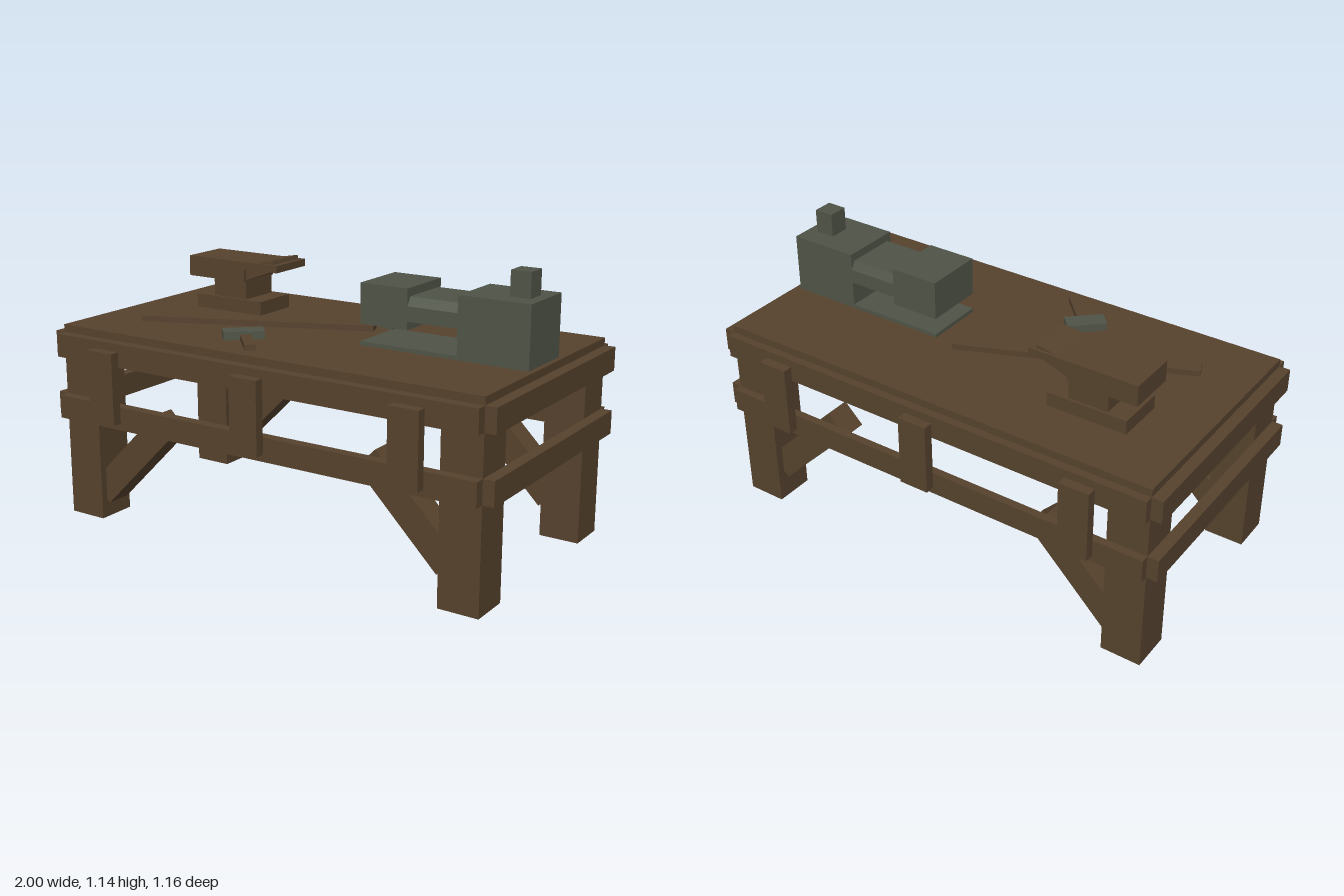
import * as THREE from 'three';

export function createModel() {
  const model = new THREE.Group();
  model.name = 'workbench';
  const wood = new THREE.MeshStandardMaterial({ name: 'dark wood', color: 0x56422d });
  const iron = new THREE.MeshStandardMaterial({ name: 'grey green iron', color: 0x4f5447 });

  const add = (parent, name, geometry, material) => {
    const mesh = new THREE.Mesh(geometry, material);
    mesh.name = name;
    parent.add(mesh);
    return mesh;
  };
  // Box given by its minimum and maximum on each axis
  const box = (parent, name, material, [x0, x1], [y0, y1], [z0, z1]) => {
    const mesh = add(parent, name, new THREE.BoxGeometry(x1 - x0, y1 - y0, z1 - z0), material);
    mesh.position.set((x0 + x1) / 2, (y0 + y1) / 2, (z0 + z1) / 2);
    return mesh;
  };
  // Prism with its outline in two dimensions, extruded from 0 to depth
  const prism = (points, depth) => new THREE.ExtrudeGeometry(
    new THREE.Shape(points.map(([x, y]) => new THREE.Vector2(x, y))),
    { depth, bevelEnabled: false });
  const group = (name) => {
    const g = new THREE.Group();
    g.name = name;
    model.add(g);
    return g;
  };

  // Bench: top, legs, two rings of rails
  const bench = group('bench');
  const ends = [-0.505, 0.495];
  box(bench, 'tabletop', wood, [-0.955, 0.955], [0.69, 0.803], ends);
  for (const [x0, x1] of [[-0.955, -0.79], [0.79, 0.955]]) {
    for (const [z0, z1] of [[-0.505, -0.34], [0.33, 0.495]]) {
      box(bench, 'leg', wood, [x0, x1], [0, 0.7], [z0, z1]);
    }
  }
  for (const [y0, y1] of [[0.42, 0.515], [0.677, 0.772]]) {
    box(bench, 'frontRail', wood, [-0.955, 0.955], [y0, y1], [0.495, 0.538]);
    box(bench, 'backRail', wood, [-0.955, 0.955], [y0, y1], [-0.538, -0.505]);
    box(bench, 'leftRail', wood, [0.955, 1], [y0, y1], ends);
    box(bench, 'rightRail', wood, [-1, -0.955], [y0, y1], ends);
  }

  // Upright battens over the long rails
  for (const x of [-0.692, 0.007, 0.688]) {
    box(bench, 'frontBatten', wood, [x - 0.062, x + 0.062], [0.448, 0.74], [0.538, 0.578]);
    box(bench, 'backBatten', wood, [x - 0.062, x + 0.062], [0.448, 0.74], [-0.578, -0.538]);
  }

  // Diagonal braces from the legs
  for (const z of [-0.42, 0.412]) {
    for (const [x, y, turn] of [[-0.648, 0.273, 1], [0.639, 0.321, -1]]) {
      const brace = add(bench, 'brace', new THREE.BoxGeometry(0.478, 0.115, 0.105), wood);
      brace.position.set(x, y, z);
      brace.rotation.z = turn * Math.PI / 4;
    }
  }

  // Iron machine with a hollow under its arm
  const machine = group('machine');
  const wide = [-0.122, 0.127];
  box(machine, 'machineBody', iron, [0.645, 0.935], [0.803, 1.045], wide);
  box(machine, 'machinePost', iron, [0.81, 0.892], [1.045, 1.142], [-0.039, 0.044]);
  box(machine, 'machinePlate', iron, [0.23, 0.645], [0.803, 0.819], wide);
  box(machine, 'machineHead', iron, [0.23, 0.435], [0.887, 1.045], wide);
  box(machine, 'machineFoot', iron, [0.267, 0.31], [0.853, 0.887], [-0.02, 0.024]);
  // Arm with chamfered upper edges, its profile lying across the bench
  const arm = add(machine, 'machineArm', prism([
    [-0.127, 0.92], [0.122, 0.92], [0.122, 0.978], [0.104, 1.012], [-0.106, 1.012], [-0.127, 0.978],
  ], 0.21), iron);
  arm.rotation.y = Math.PI / 2;
  arm.position.x = 0.435;

  // Wooden anvil
  const anvil = group('anvil');
  const full = [-0.277, -0.072];
  const slim = [-0.264, -0.085];
  box(anvil, 'anvilBase', wood, [-0.72, -0.387], [0.803, 0.86], full);
  box(anvil, 'anvilWaist', wood, [-0.636, -0.47], [0.86, 0.935], slim);
  box(anvil, 'anvilHead', wood, [-0.758, -0.47], [0.935, 1.02], full);
  box(anvil, 'anvilShelf', wood, [-0.47, -0.303], [0.99, 1.02], full);
  const horn = add(anvil, 'anvilHorn', prism([
    [-0.48, 0.938], [-0.322, 0.995], [-0.332, 1.036], [-0.425, 1.019], [-0.48, 1.01],
  ], slim[1] - slim[0]), wood);
  horn.position.z = slim[0];

  // Loose plank and hammer lying on the top
  const lay = (name, material, size, x, z, degrees) => {
    const mesh = add(model, name, new THREE.BoxGeometry(...size), material);
    mesh.position.set(x, 0.803 + size[1] / 2, z);
    mesh.rotation.y = THREE.MathUtils.degToRad(degrees);
  };
  lay('plank', wood, [0.96, 0.023, 0.073], -0.302, 0.061, 22.5);
  lay('hammerHead', iron, [0.16, 0.033, 0.075], -0.211, 0.278, 43);
  lay('hammerHandle', wood, [0.17, 0.023, 0.042], -0.122, 0.368, -47);

  return model;
}
